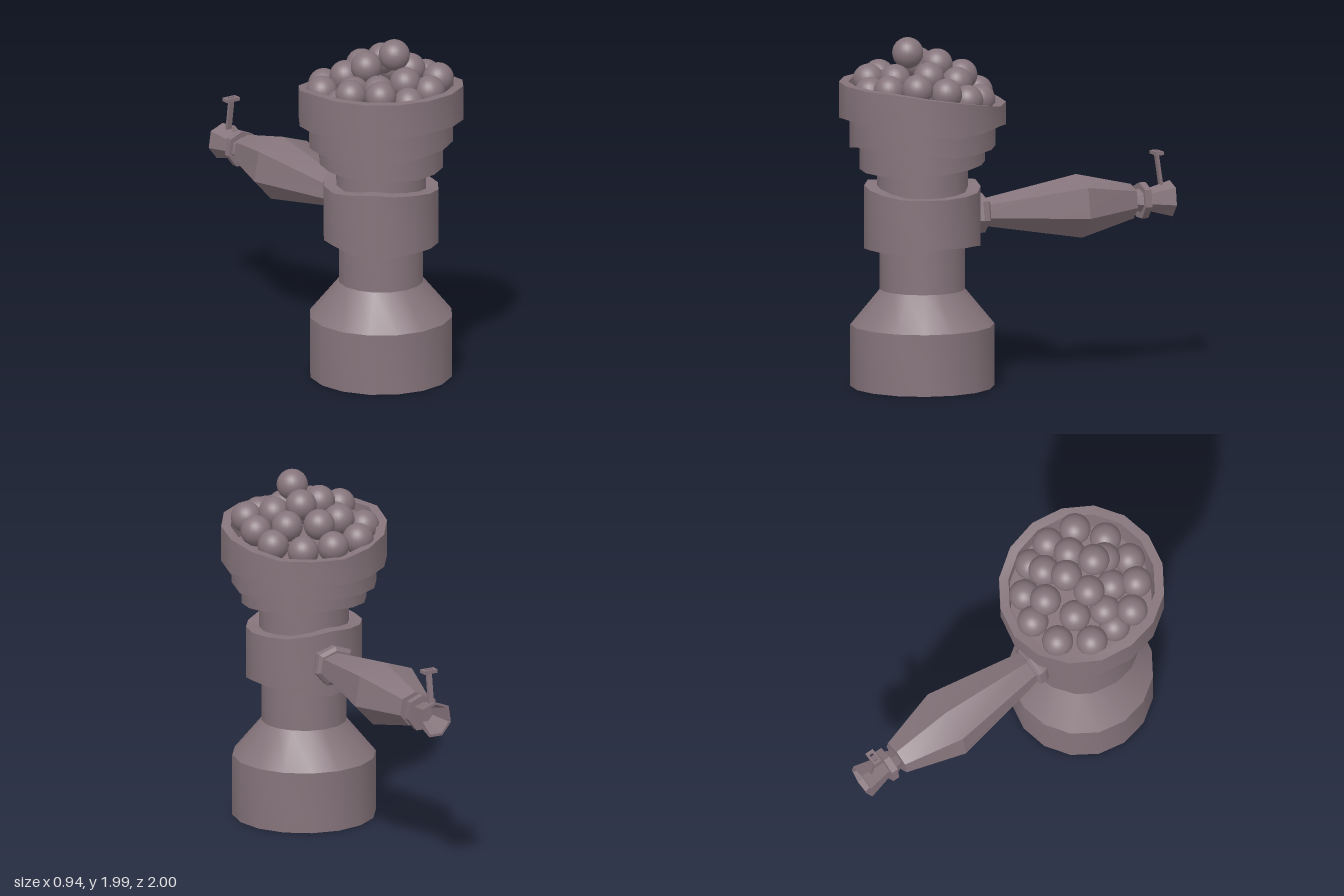
import * as THREE from 'three';
import { toCreasedNormals } from 'three/addons/utils/BufferGeometryUtils.js';

const AXIS_Z = 0.53;
const SIDES = 16;

const stone = new THREE.MeshStandardMaterial({ color: 0x85747b });
stone.name = 'mauve stone';

function addMesh(parent, name, geometry, x = 0, y = 0, z = 0) {
  const mesh = new THREE.Mesh(geometry, stone);
  mesh.name = name;
  mesh.position.set(x, y, z);
  parent.add(mesh);
  return mesh;
}

const lathe = (pts) =>
  new THREE.LatheGeometry(pts.map(([r, y]) => new THREE.Vector2(r, y)), SIDES);

// Height at an angle, from eight heights running from the front towards +x
function heightAt(keys, angle) {
  const t = ((angle / (Math.PI * 2)) * 8 + 8) % 8;
  const i = Math.floor(t) % 8;
  return THREE.MathUtils.lerp(keys[i], keys[(i + 1) % 8], t - Math.floor(t));
}

// Ring whose top and bottom edges wander up and down
function wavyRing(inner, outer, lip, bottom, top) {
  const g = lathe([[inner, 0], [outer, 0], [outer, 1], [lip, 1], [lip - 0.02, 0.15]]);
  const p = g.attributes.position;
  for (let i = 0; i < p.count; i++) {
    const a = Math.atan2(p.getX(i), p.getZ(i));
    p.setY(i, THREE.MathUtils.lerp(heightAt(bottom, a), heightAt(top, a), p.getY(i)));
  }
  return toCreasedNormals(g, 0.5);
}

// Faceted tube along -z through sections [z, half width, half height]
const FACETS = [[0, 1], [0.85, 0.68], [1, -0.3], [0.42, -1], [-0.42, -1], [-1, -0.3], [-0.85, 0.68]];
function facetedTube(sections) {
  const n = FACETS.length;
  const pos = [];
  const index = [];
  sections.forEach(([z, w, h], s) => {
    FACETS.forEach(([x, y], j) => {
      pos.push(x * w, y * h, z);
      if (s === sections.length - 1) return;
      const a = s * n + j;
      const b = s * n + ((j + 1) % n);
      index.push(a, b, a + n, b, b + n, a + n);
    });
  });
  const g = new THREE.BufferGeometry();
  g.setAttribute('position', new THREE.Float32BufferAttribute(pos, 3));
  g.setIndex(index);
  return toCreasedNormals(g, 0.4);
}

export function createModel() {
  const model = new THREE.Group();
  model.name = 'pipe';

  // Upright body
  const body = new THREE.Group();
  body.name = 'body';
  body.position.z = AXIS_Z;
  model.add(body);
  addMesh(body, 'base', toCreasedNormals(
    lathe([[0, 0], [0.405, 0], [0.405, 0.35], [0.24, 0.55], [0.24, 0.95]]), 0.5));
  addMesh(body, 'neck', toCreasedNormals(lathe([[0.255, 0.95], [0.255, 1.4]]), 0.5));

  // Wavy collar and stacked bowl tiers
  addMesh(body, 'collar', wavyRing(0.23, 0.327, 0.24,
    [0.79, 0.785, 0.82, 0.81, 0.77, 0.8, 0.81, 0.77],
    [1.13, 1.1, 1.1, 1.11, 1.15, 1.13, 1.12, 1.15]));
  const tierEdge = [1.38, 1.39, 1.345, 1.36, 1.36, 1.35, 1.36, 1.33];
  const rimEdge = [1.54, 1.52, 1.465, 1.5, 1.46, 1.48, 1.5, 1.51];
  addMesh(body, 'lowerTier', wavyRing(0.25, 0.352, 0.28,
    [1.23, 1.23, 1.25, 1.27, 1.28, 1.26, 1.25, 1.235], tierEdge.map((y) => y + 0.04)));
  addMesh(body, 'middleTier', wavyRing(0.3, 0.41, 0.34, tierEdge, rimEdge.map((y) => y + 0.03)));
  addMesh(body, 'rim', wavyRing(0.36, 0.468, 0.415, rimEdge,
    [1.73, 1.72, 1.67, 1.61, 1.61, 1.67, 1.73, 1.73]));
  addMesh(body, 'bowlFloor', new THREE.CircleGeometry(0.41, SIDES).rotateX(-Math.PI / 2), 0, 1.57, 0);

  // Heap of balls in the bowl: [x, y, z]
  const heap = new THREE.Group();
  heap.name = 'ballHeap';
  model.add(heap);
  const ball = new THREE.SphereGeometry(0.088, 24, 16);
  [
    [0.02, 1.9, 0.63], [0.055, 1.83, 0.465], [-0.09, 1.82, 0.515], [0.03, 1.755, 0.3],
    [0.17, 1.775, 0.57], [0.18, 1.74, 0.4], [0.035, 1.755, 0.715], [-0.14, 1.74, 0.38],
    [-0.11, 1.72, 0.66], [-0.2, 1.7, 0.545], [0.31, 1.7, 0.525], [0.28, 1.73, 0.69],
    [0.28, 1.65, 0.38], [0.16, 1.63, 0.25], [0, 1.65, 0.19], [-0.18, 1.66, 0.23],
    [-0.3, 1.68, 0.38], [-0.29, 1.64, 0.545], [-0.3, 1.73, 0.66], [-0.18, 1.73, 0.78],
    [-0.03, 1.68, 0.84], [0.14, 1.71, 0.8],
  ].forEach((p) => addMesh(heap, 'ball', ball, ...p));

  // Handle reaching out behind
  const handle = new THREE.Group();
  handle.name = 'handle';
  handle.position.y = 0.96;
  model.add(handle);
  addMesh(handle, 'handleFlange', facetedTube([
    [0.24, 0.1, 0.1], [0.2, 0.12, 0.11], [0.165, 0.12, 0.11], [0.15, 0.1, 0.09], [0.15, 0, 0]]));
  addMesh(handle, 'handleGrip', facetedTube([
    [0.16, 0.095, 0.075], [-0.42, 0.195, 0.175], [-0.76, 0.095, 0.095], [-0.76, 0, 0]]));
  addMesh(handle, 'tipStem', facetedTube([[-0.74, 0.045, 0.035], [-0.82, 0.075, 0.07]]));
  addMesh(handle, 'tipRing', facetedTube([
    [-0.81, 0, 0], [-0.81, 0.093, 0.1], [-0.85, 0.093, 0.1], [-0.85, 0, 0]]));
  addMesh(handle, 'mouthpiece', facetedTube([
    [-0.85, 0.062, 0.06], [-1, 0.097, 0.1], [-1, 0.085, 0.085], [-0.88, 0.045, 0.045], [-0.88, 0, 0]]));

  // Small pin with a square eye on the mouthpiece
  const pin = new THREE.Group();
  pin.name = 'pin';
  model.add(pin);
  const shaft = addMesh(pin, 'pinShaft', new THREE.BoxGeometry(0.03, 0.2, 0.018), 0, 1.12, -0.932);
  shaft.rotation.x = 0.15;
  for (const s of [-1, 1]) {
    addMesh(pin, 'eyeSide', new THREE.BoxGeometry(0.018, 0.02, 0.04), s * 0.034, 1.222, -0.92);
    addMesh(pin, 'eyeEnd', new THREE.BoxGeometry(0.086, 0.02, 0.012), 0, 1.222, -0.92 + s * 0.018);
  }
  return model;
}
